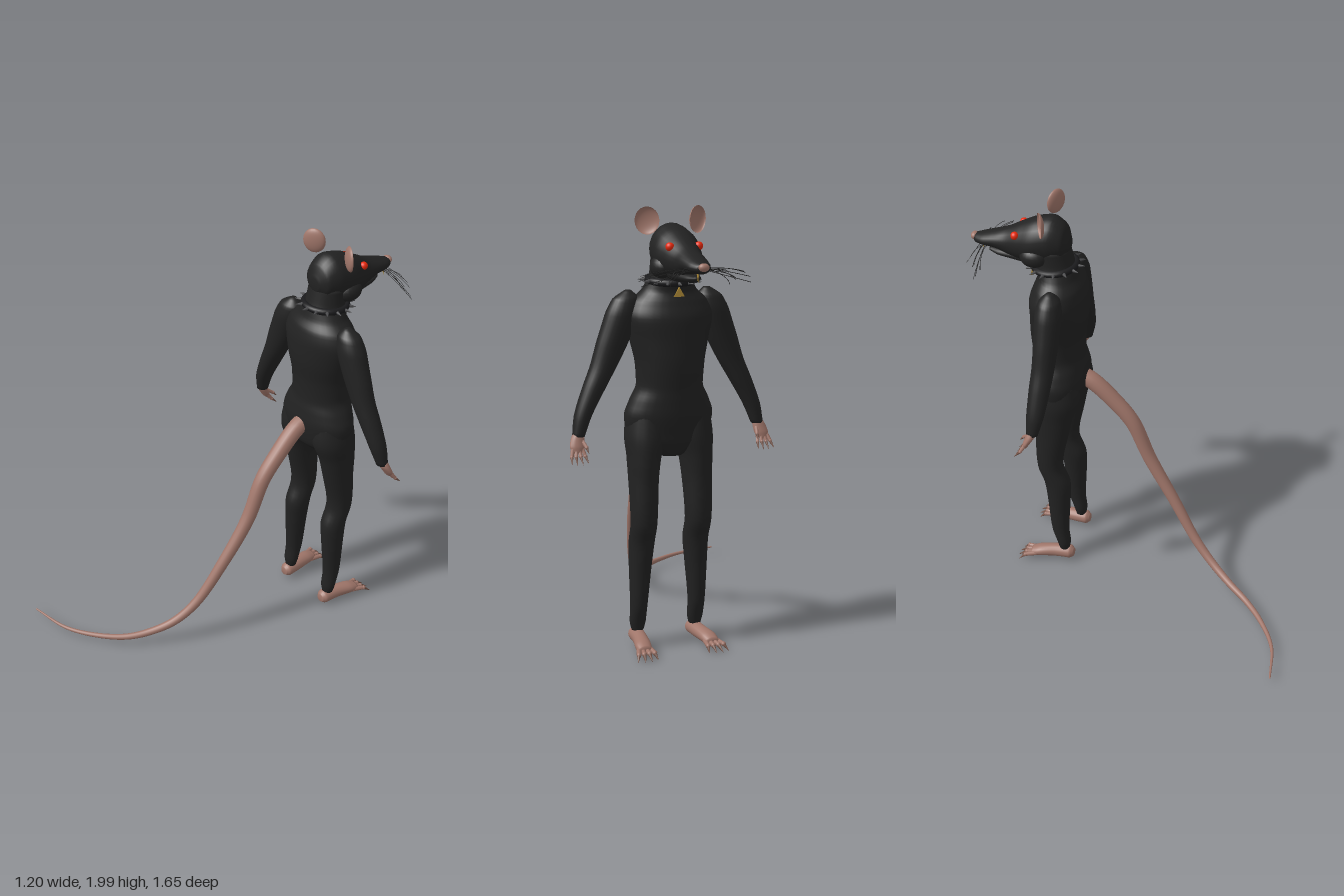
import * as THREE from 'three';

const mat = (name, color) => {
  const m = new THREE.MeshStandardMaterial({ color });
  m.name = name;
  return m;
};
const fur = mat('black fur', 0x222222);
const skin = mat('pink skin', 0xa0766a);
const claw = mat('dark claw', 0x755448);
const red = mat('red eye', 0xee2a0c);
const gold = mat('gold', 0xb8923a);
const steel = mat('spike steel', 0x4a4a4c);
const leather = mat('collar leather', 0x1b1b1d);
const earSkin = mat('ear skin', 0xa0766a);
earSkin.side = THREE.DoubleSide;

const V = (x, y, z) => new THREE.Vector3(x, y, z);

function add(parent, name, geometry, material, pos) {
  const m = new THREE.Mesh(geometry, material);
  m.name = name;
  if (pos) m.position.copy(pos);
  parent.add(m);
  return m;
}

// Smooth skin over elliptical sections [x, y, z, halfWidth, halfDepth].
// axis 'y': sections lie flat, listed upwards; axis 'z': upright, listed towards -z.
function loft(sections, axis, side = 1, sides = 24, steps = 5) {
  const centre = new THREE.CatmullRomCurve3(sections.map(s => V(s[0] * side, s[1], s[2])));
  const size = new THREE.CatmullRomCurve3(sections.map(s => V(s[3], s[4], 0)));
  const rows = (sections.length - 1) * steps;
  const pos = [], idx = [];
  for (let i = 0; i <= rows; i++) {
    const c = centre.getPoint(i / rows), r = size.getPoint(i / rows);
    for (let j = 0; j < sides; j++) {
      const a = (j / sides) * Math.PI * 2, u = r.x * Math.cos(a), v = r.y * Math.sin(a);
      if (axis === 'y') pos.push(c.x + u, c.y, c.z + v);
      else pos.push(c.x + u, c.y + v, c.z);
    }
  }
  for (let i = 0; i < rows; i++) for (let j = 0; j < sides; j++) {
    const k = (j + 1) % sides, a = i * sides, b = a + sides;
    idx.push(a + j, b + j, b + k, a + j, b + k, a + k);
  }
  // end caps
  const first = centre.getPoint(0), last = centre.getPoint(1), n = pos.length / 3;
  pos.push(first.x, first.y, first.z, last.x, last.y, last.z);
  for (let j = 0; j < sides; j++) {
    const k = (j + 1) % sides, b = rows * sides;
    idx.push(n, j, k, n + 1, b + k, b + j);
  }
  const g = new THREE.BufferGeometry();
  g.setAttribute('position', new THREE.Float32BufferAttribute(pos, 3));
  g.setIndex(idx);
  g.computeVertexNormals();
  return g;
}

// Tapered rod between two points
function rod(a, b, r0, r1, sides = 8) {
  const d = b.clone().sub(a), len = d.length();
  const g = new THREE.CylinderGeometry(r1, r0, len, sides);
  g.translate(0, len / 2, 0);
  g.applyQuaternion(new THREE.Quaternion().setFromUnitVectors(V(0, 1, 0), d.normalize()));
  return g.translate(a.x, a.y, a.z);
}

// Finger or toe: root to knuckle to pad, ending in a claw
function digit(parent, name, root, knuckle, tip, r) {
  add(parent, name, rod(root, knuckle, r, r * 0.85), skin);
  add(parent, name + 'Knuckle', new THREE.SphereGeometry(r * 0.95, 8, 6), skin, knuckle);
  add(parent, name + 'Claw', rod(knuckle, tip, r * 0.8, 0.001), claw);
}

const ball = (x, y, z) => new THREE.SphereGeometry(1, 20, 14).scale(x, y, z);

function buildTail(parent) {
  const path = new THREE.CatmullRomCurve3([
    V(0.122, 1.08, -0.31), V(0.122, 1.05, -0.25), V(0.122, 0.96, -0.15), V(0.12, 0.85, -0.055),
    V(0.115, 0.65, 0.035), V(0.088, 0.43, 0.17), V(0.045, 0.23, 0.3), V(0, 0.135, 0.4),
    V(-0.06, 0.082, 0.5), V(-0.13, 0.055, 0.6), V(-0.24, 0.045, 0.7), V(-0.39, 0.042, 0.785),
    V(-0.6, 0.045, 0.822)]);
  const rows = 90, sides = 16;
  const g = new THREE.TubeGeometry(path, rows, 1, sides);
  const p = g.attributes.position, v = V();
  for (let i = 0; i <= rows; i++) {
    const c = path.getPointAt(i / rows), r = 0.043 - 0.039 * Math.pow(i / rows, 1.1);
    for (let j = 0; j <= sides; j++) {
      const k = i * (sides + 1) + j;
      v.fromBufferAttribute(p, k).sub(c).multiplyScalar(r).add(c);
      p.setXYZ(k, v.x, v.y, v.z);
    }
  }
  add(parent, 'tail', g, skin);
}

function buildHead(body) {
  const head = new THREE.Group();
  head.name = 'head';
  body.add(head);
  add(head, 'skullAndSnout', loft([
    [0, 1.80, -0.345, 0.03, 0.03], [0, 1.81, -0.37, 0.075, 0.08], [0, 1.815, -0.43, 0.1, 0.112],
    [0, 1.80, -0.5, 0.105, 0.112], [0, 1.785, -0.575, 0.088, 0.092], [0, 1.775, -0.64, 0.068, 0.066],
    [0, 1.775, -0.7, 0.06, 0.042], [0, 1.767, -0.76, 0.05, 0.03], [0, 1.763, -0.8, 0.03, 0.021],
    [0, 1.763, -0.81, 0.012, 0.01]], 'z'), fur);
  add(head, 'lowerJaw', loft([
    [0, 1.74, -0.48, 0.075, 0.05], [0, 1.725, -0.55, 0.068, 0.042], [0, 1.716, -0.62, 0.052, 0.028],
    [0, 1.712, -0.69, 0.036, 0.018], [0, 1.714, -0.735, 0.015, 0.009]], 'z'), fur);
  add(head, 'nose', ball(0.024, 0.018, 0.018), skin, V(0, 1.77, -0.808));
  add(head, 'goldTooth', rod(V(0.012, 1.748, -0.77), V(0.012, 1.705, -0.775), 0.006, 0.001), gold);
  for (const s of [-1, 1]) {
    add(head, 'cheek', ball(0.05, 0.05, 0.065), fur, V(s * 0.07, 1.745, -0.5));
    add(head, 'eye', ball(0.019, 0.019, 0.019), red, V(s * 0.066, 1.838, -0.588));
    const bowl = new THREE.SphereGeometry(1, 24, 10, 0, Math.PI * 2, 0, Math.PI / 2);
    bowl.rotateX(Math.PI / 2).scale(0.054, 0.06, 0.022).rotateY(-s * 0.5);
    add(head, 'ear', bowl, earSkin, V(s * 0.118, 1.94, -0.45));
    // whiskers fan out from the snout
    for (let i = 0; i < 8; i++) {
      const f = i / 7, reach = 0.19 + 0.065 * Math.sin(f * 5 + 0.6);
      const curve = new THREE.QuadraticBezierCurve3(
        V(s * 0.04, 1.75 + 0.01 * (i % 2), -0.735 - f * 0.03),
        V(s * 0.13, 1.765 - 0.02 * (i % 3), -0.735 - f * 0.04),
        V(s * reach, 1.735 - 0.022 * (i % 3), -0.7 - f * 0.095));
      add(head, 'whisker', new THREE.TubeGeometry(curve, 8, 0.0013, 4), fur);
    }
  }
}

function buildCollar(body) {
  const collar = new THREE.Group();
  collar.name = 'collar';
  collar.position.set(0, 1.68, -0.42);
  collar.rotation.x = -0.08;
  body.add(collar);
  add(collar, 'collarBand', new THREE.TorusGeometry(0.098, 0.016, 10, 36).rotateX(Math.PI / 2), leather);
  for (let i = 0; i < 14; i++) {
    const a = ((i + 0.5) / 14) * Math.PI * 2, c = Math.cos(a), s = Math.sin(a);
    add(collar, 'collarSpike', rod(V(c * 0.1, 0, s * 0.1), V(c * 0.142, 0, s * 0.142), 0.011, 0.001), steel);
  }
  add(body, 'pendant', new THREE.CylinderGeometry(0.028, 0.028, 0.008, 3).rotateX(-Math.PI / 2),
    gold, V(0, 1.63, -0.53));
}

function buildLimbs(body, s) {
  add(body, 'arm', loft([
    [0.425, 1.01, -0.415, 0.028, 0.028], [0.4, 1.1, -0.405, 0.04, 0.042], [0.345, 1.22, -0.397, 0.053, 0.05],
    [0.3, 1.31, -0.392, 0.061, 0.053], [0.255, 1.42, -0.39, 0.073, 0.058], [0.215, 1.53, -0.39, 0.076, 0.062],
    [0.195, 1.6, -0.39, 0.06, 0.05], [0.185, 1.637, -0.39, 0.015, 0.015]], 'y', s), fur);
  add(body, 'hand', loft([
    [0.44, 0.945, -0.447, 0.022, 0.012], [0.437, 0.97, -0.437, 0.034, 0.018],
    [0.432, 1.0, -0.423, 0.031, 0.022], [0.424, 1.03, -0.415, 0.022, 0.02]], 'y', s, 16), skin);
  for (let i = 0; i < 4; i++) {
    const f = i / 3 - 0.5;
    digit(body, 'finger', V(s * (0.438 + f * 0.04), 0.965, -0.44), V(s * (0.44 + f * 0.062), 0.93, -0.462),
      V(s * (0.44 + f * 0.075), 0.895 + Math.abs(f) * 0.015, -0.49), 0.009);
  }
  digit(body, 'thumb', V(s * 0.415, 0.995, -0.43), V(s * 0.404, 0.968, -0.465), V(s * 0.4, 0.945, -0.485), 0.009);

  add(body, 'leg', loft([
    [0.14, 0.08, -0.375, 0.028, 0.026], [0.14, 0.12, -0.378, 0.037, 0.034], [0.14, 0.2, -0.393, 0.039, 0.043],
    [0.134, 0.4, -0.398, 0.052, 0.058], [0.13, 0.5, -0.405, 0.058, 0.065], [0.13, 0.6, -0.438, 0.06, 0.064],
    [0.127, 0.8, -0.423, 0.067, 0.083], [0.122, 0.9, -0.415, 0.076, 0.096], [0.108, 1.0, -0.4, 0.095, 0.112],
    [0.1, 1.1, -0.4, 0.09, 0.1]], 'y', s), fur);
  add(body, 'foot', loft([
    [0.14, 0.05, -0.327, 0.02, 0.02], [0.14, 0.052, -0.35, 0.036, 0.034], [0.145, 0.05, -0.42, 0.035, 0.033],
    [0.158, 0.044, -0.5, 0.038, 0.028], [0.163, 0.036, -0.545, 0.03, 0.018]], 'z', s, 18), skin);
  for (let i = 0; i < 4; i++) {
    const f = i / 3 - 0.5;
    digit(body, 'toe', V(s * (0.16 + f * 0.05), 0.036, -0.515), V(s * (0.166 + f * 0.075), 0.03, -0.57),
      V(s * (0.17 + f * 0.095), 0.006, -0.615 + Math.abs(f) * 0.03), 0.012);
  }
}

export function createModel() {
  const model = new THREE.Group();
  model.name = 'standingRat';
  const body = new THREE.Group();
  body.name = 'body';
  body.position.x = 0.122;
  model.add(body);
  add(body, 'torso', loft([
    [0, 0.9, -0.415, 0.06, 0.06], [0, 0.97, -0.4, 0.18, 0.11], [0, 1.08, -0.4, 0.205, 0.127],
    [0, 1.15, -0.405, 0.182, 0.126], [0, 1.22, -0.412, 0.152, 0.123], [0, 1.32, -0.415, 0.158, 0.129],
    [0, 1.42, -0.407, 0.18, 0.135], [0, 1.52, -0.405, 0.2, 0.134], [0, 1.59, -0.4, 0.175, 0.115],
    [0, 1.635, -0.405, 0.125, 0.095], [0, 1.7, -0.42, 0.094, 0.09], [0, 1.78, -0.43, 0.09, 0.08]], 'y', 1, 32), fur);
  buildHead(body);
  buildCollar(body);
  for (const s of [-1, 1]) buildLimbs(body, s);
  buildTail(model);
  return model;
}
